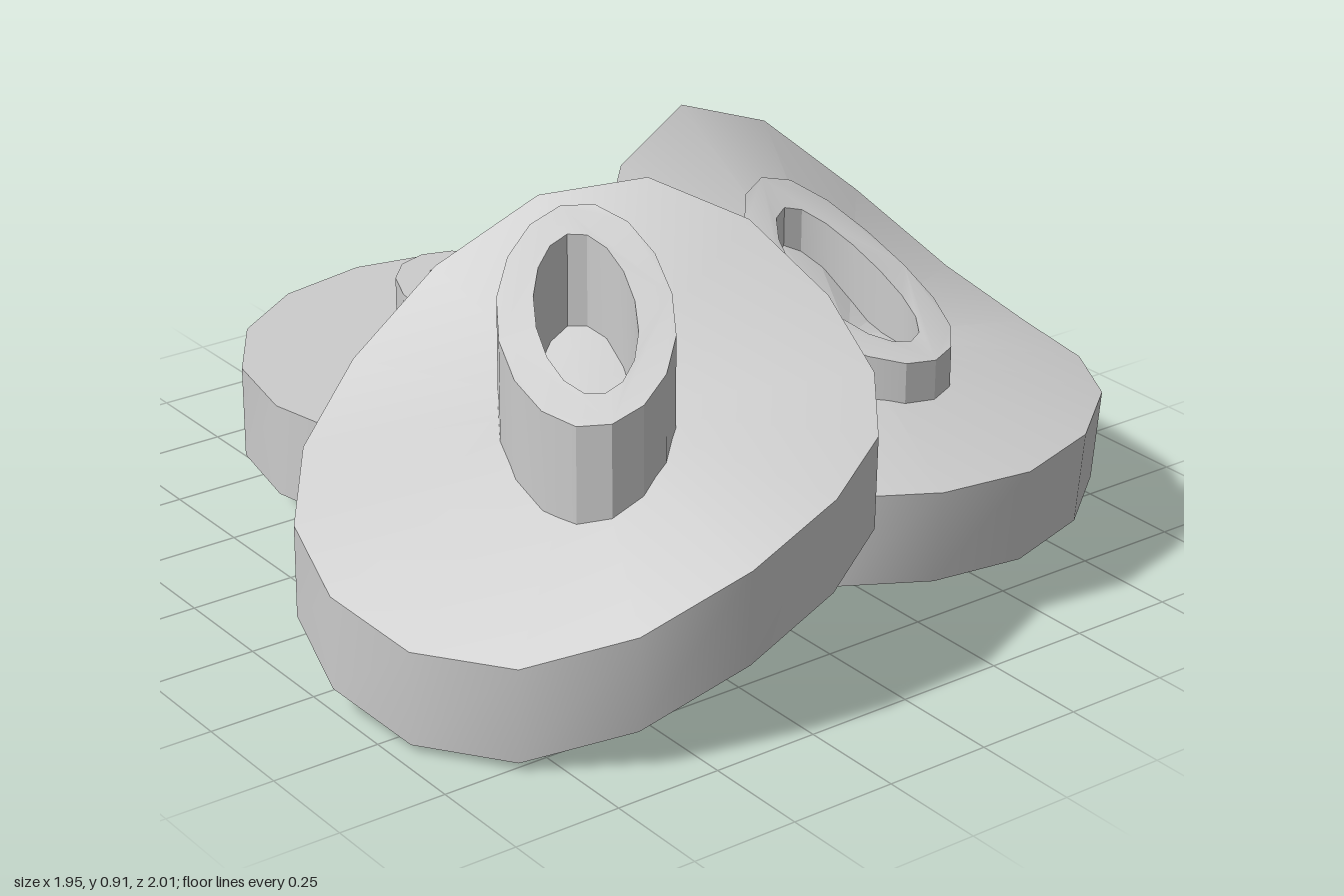
import * as THREE from 'three';
import { toCreasedNormals } from 'three/addons/utils/BufferGeometryUtils.js';

const RADIUS = 0.59, SIDES = 16;
const material = new THREE.MeshStandardMaterial({ color: 0xcccccc });

function ellipsePoints(rx, rz) {
  return Array.from({ length: SIDES }, (_, i) => {
    const a = (i / SIDES) * Math.PI * 2;
    return new THREE.Vector2(rx * Math.cos(a), rz * Math.sin(a));
  });
}

// Flat 16-sided slab
function slabGeometry() {
  return new THREE.CylinderGeometry(RADIUS, RADIUS, 0.22, SIDES).translate(0, 0.25, 0);
}

// Oval tube that passes through the slab and stands proud on both sides
function collarGeometry(height, rise) {
  const shape = new THREE.Shape(ellipsePoints(0.295, 0.185));
  shape.holes.push(new THREE.Path(ellipsePoints(0.215, 0.105)));
  return new THREE.ExtrudeGeometry(shape, { depth: height, bevelEnabled: false })
    .rotateX(-Math.PI / 2).translate(0, 0.245 - height / 2 + rise, 0);
}

// Raise, tilt, saddle and fold a part vertically, then adjust its plan outline
function warp(geometry, bend, { scaleX = 1, scaleZ = 1, lean = 0 }) {
  const { lift = 0, dome = 0, tiltX = 0, tiltZ = 0, saddle = 0, foldX = 0, foldZ = 0 } = bend;
  const p = geometry.attributes.position;
  for (let i = 0; i < p.count; i++) {
    const x = p.getX(i), y = p.getY(i), z = p.getZ(i);
    const u = x / RADIUS, w = z / RADIUS;
    const shift = lift - dome * (u * u + w * w) + tiltX * u + tiltZ * w
      + saddle * (u * u - w * w) + foldX * u * w * w + foldZ * u * u * w;
    p.setXYZ(i, x * scaleX + lean * (y - 0.25), y + shift, z * scaleZ);
  }
  return toCreasedNormals(geometry, 0.5);
}

function makeDisc({ name, x, z, turn = 0, bend = {}, slab = {}, collar = {} }) {
  const group = new THREE.Group();
  group.name = name;
  const { height = 0.49, rise = 0 } = collar;
  const parts = {
    slab: warp(slabGeometry(), bend, slab),
    ovalCollar: warp(collarGeometry(height, rise), bend, collar),
  };
  for (const [part, geometry] of Object.entries(parts)) {
    const mesh = new THREE.Mesh(geometry, material);
    mesh.name = part;
    group.add(mesh);
  }
  group.position.set(x, 0, z);
  group.rotation.y = THREE.MathUtils.degToRad(turn);
  return group;
}

export function createModel() {
  const model = new THREE.Group();
  model.name = 'discPile';
  model.add(
    makeDisc({ name: 'flatDisc', x: -0.385, z: 0.1 }),
    makeDisc({
      name: 'backDisc', x: 0.288, z: -0.41, turn: 5,
      bend: { lift: 0.13, tiltX: -0.27, saddle: 0.13, foldX: 0.17 },
      slab: { scaleX: 0.96, lean: 0.09 },
      collar: { scaleX: 0.96 },
    }),
    makeDisc({
      name: 'frontDisc', x: 0.393, z: 0.39, turn: -25,
      bend: {
        lift: 0.2, dome: 0.042, tiltX: -0.259, tiltZ: -0.122,
        saddle: 0.051, foldX: 0.088, foldZ: -0.124,
      },
      slab: { scaleX: 0.965, scaleZ: 1.065, lean: 0.04 },
      collar: { height: 0.535, rise: 0.065, scaleX: 0.97 },
    }),
  );
  return model;
}
